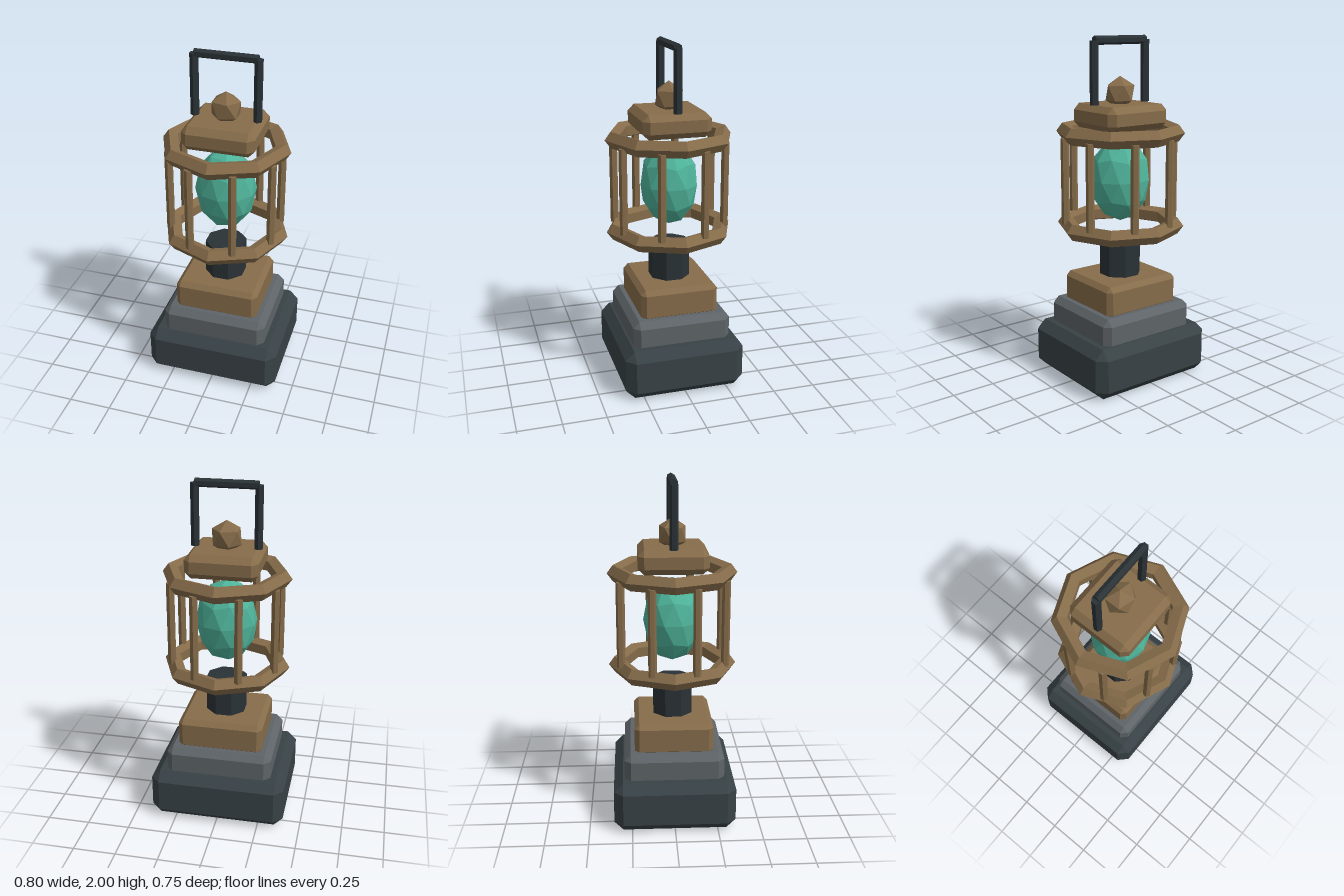
import * as THREE from 'three';
import { ConvexGeometry } from 'three/addons/geometries/ConvexGeometry.js';

const paint = (color) => new THREE.MeshStandardMaterial({ color, flatShading: true });

// Box with every edge cut by a flat chamfer c, standing between y0 and y1
function chamferBox(hx, hz, y0, y1, c) {
  const hy = (y1 - y0) / 2;
  const points = [];
  for (const sx of [-1, 1]) for (const sy of [-1, 1]) for (const sz of [-1, 1]) {
    points.push(
      new THREE.Vector3(sx * hx, sy * (hy - c), sz * (hz - c)),
      new THREE.Vector3(sx * (hx - c), sy * hy, sz * (hz - c)),
      new THREE.Vector3(sx * (hx - c), sy * (hy - c), sz * hz));
  }
  return new ConvexGeometry(points).translate(0, (y0 + y1) / 2, 0);
}

// Icosahedron with a vertex at each pole, optionally subdivided
function poleIcosahedron(detail) {
  const h = 1 / Math.sqrt(5), r = 2 * h;
  const v = [0, 1, 0], f = [];
  for (let i = 0; i < 5; i++) {
    const a = i * Math.PI * 0.4;
    v.push(r * Math.cos(a), h, -r * Math.sin(a));
  }
  for (let i = 0; i < 5; i++) {
    const a = (i + 0.5) * Math.PI * 0.4;
    v.push(r * Math.cos(a), -h, -r * Math.sin(a));
  }
  v.push(0, -1, 0);
  for (let i = 0; i < 5; i++) {
    const j = (i + 1) % 5;
    f.push(0, 1 + i, 1 + j, 1 + i, 6 + i, 1 + j, 1 + j, 6 + i, 6 + j, 11, 6 + j, 6 + i);
  }
  return new THREE.PolyhedronGeometry(v, f, 1, detail);
}

export function createModel() {
  const model = new THREE.Group();
  model.name = 'lantern';

  const iron = paint(0x384246);
  const stone = paint(0x5e6468);
  const brass = paint(0x866c4a);
  const darkIron = paint(0x2a3236);
  const glow = paint(0x4fb49b);

  const add = (name, geometry, material, x = 0, y = 0, z = 0, parent = model) => {
    const mesh = new THREE.Mesh(geometry, material);
    mesh.name = name;
    mesh.position.set(x, y, z);
    parent.add(mesh);
    return mesh;
  };

  // Stepped foot
  add('base', chamferBox(0.4, 0.355, 0, 0.297, 0.053), iron);
  add('middleStep', chamferBox(0.313, 0.291, 0.25, 0.445, 0.037), stone);
  add('upperStep', chamferBox(0.25, 0.23, 0.42, 0.61, 0.028), brass);

  // Octagonal neck
  const neck = new THREE.CylinderGeometry(0.123, 0.123, 0.27, 8).rotateY(Math.PI / 8);
  add('neck', neck, darkIron, 0, 0.685, 0);

  // Cage: two faceted rings joined by eight bars
  const cage = new THREE.Group();
  cage.name = 'cage';
  model.add(cage);
  const ring = new THREE.TorusGeometry(0.325, 0.05, 5, 8).rotateX(Math.PI / 2);
  add('lowerRing', ring, brass, 0, 0.908, 0, cage);
  add('upperRing', ring, brass, 0, 1.455, 0, cage);
  const bar = new THREE.CylinderGeometry(0.024, 0.024, 0.5, 6);
  for (let i = 0; i < 8; i++) {
    const a = (i + 0.5) * Math.PI / 4;
    add('cageBar', bar, brass, 0.325 * Math.cos(a), 1.18, 0.325 * Math.sin(a), cage);
  }

  // Glowing crystal
  add('crystal', poleIcosahedron(1).scale(0.18, 0.25, 0.17), glow, 0, 1.18, 0);

  // Lid and finial
  add('lid', chamferBox(0.208, 0.199, 1.48, 1.62, 0.036), brass);
  add('finial', poleIcosahedron(0).scale(0.095, 0.095, 0.088), brass, 0, 1.68, 0);

  // Carrying handle
  const handle = new THREE.Group();
  handle.name = 'handle';
  model.add(handle);
  const post = new THREE.CylinderGeometry(0.025, 0.025, 0.355, 6);
  for (const s of [-1, 1]) add('handlePost', post, darkIron, s * 0.18, 1.7975, 0, handle);
  const grip = new THREE.CylinderGeometry(0.025, 0.025, 0.356, 6)
    .rotateY(Math.PI / 6).rotateZ(Math.PI / 2);
  add('handleGrip', grip, darkIron, 0, 1.975, 0, handle);

  return model;
}
